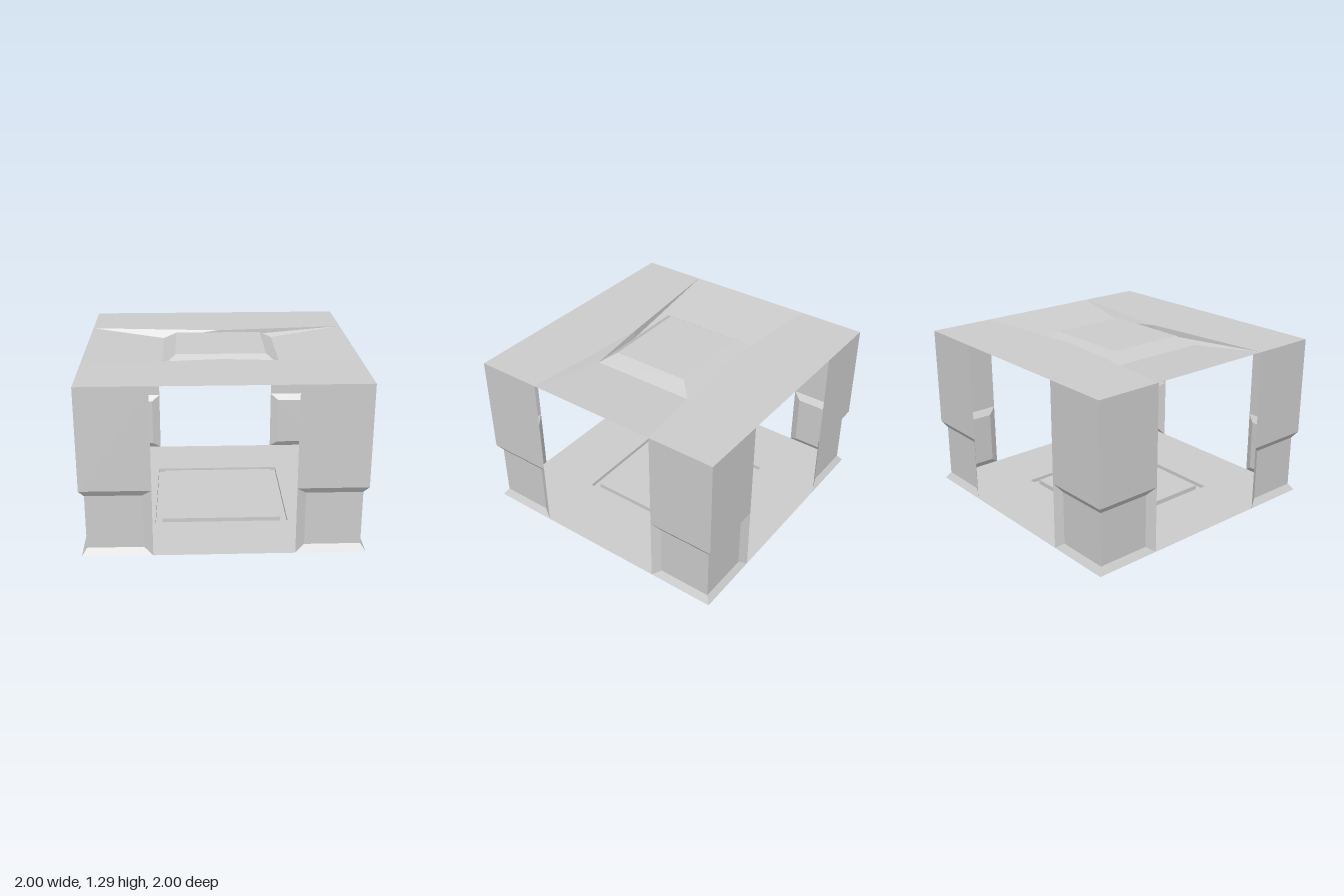
import * as THREE from 'three';

const material = new THREE.MeshStandardMaterial({
  color: 0xcccccc, flatShading: true, side: THREE.DoubleSide,
});

const FLOOR = 0.03, ROOF = 1.28, SUNK = 1.22;

// Builds a mesh from convex faces, each a list of [x, y, z] corners.
function shell(name, faces) {
  const positions = [];
  for (const f of faces) {
    for (let i = 1; i < f.length - 1; i++) positions.push(...f[0], ...f[i], ...f[i + 1]);
  }
  const geometry = new THREE.BufferGeometry();
  geometry.setAttribute('position', new THREE.Float32BufferAttribute(positions, 3));
  geometry.computeVertexNormals();
  const mesh = new THREE.Mesh(geometry, material);
  mesh.name = name;
  return mesh;
}

// Joins nested rectangles [halfX, halfZ, y] from outside in and caps the last one.
function nestedRectangles(rects) {
  const loops = rects.map(([x, z, y]) => [[-x, y, z], [x, y, z], [x, y, -z], [-x, y, -z]]);
  const faces = [loops[loops.length - 1]];
  for (let r = 0; r < loops.length - 1; r++) {
    for (let i = 0; i < 4; i++) {
      const j = (i + 1) % 4;
      faces.push([loops[r][i], loops[r][j], loops[r + 1][j], loops[r + 1][i]]);
    }
  }
  return faces;
}

// L-shaped corner post: two thin walls with a recessed, bevelled lower panel.
function cornerPost() {
  const edge = (y) => [0.5, y, 1], corner = (y) => [1, y, 1];
  const inEdge = (y) => [0.565, y, 0.965], inCorner = (y) => [0.965, y, 0.965];
  const wall = [
    [edge(0.53), corner(0.53), corner(ROOF), edge(ROOF)],
    [inEdge(0.48), inCorner(0.48), corner(0.53), edge(0.53)],
    [inEdge(0.08), inCorner(0.08), inCorner(0.48), inEdge(0.48)],
    [edge(FLOOR), corner(FLOOR), inCorner(0.08), inEdge(0.08)],
    [edge(FLOOR), inEdge(0.08), inEdge(0.48), edge(0.53)],
  ];
  const sideWall = wall.map((f) => f.map(([x, y, z]) => [z, y, x]).reverse());
  return shell('cornerPost', [...wall, ...sideWall]);
}

// Half of the roof: flat strip, sloping side and the folded step between them.
function roofHalf() {
  const left = [-1, ROOF, 0.5], right = [1, ROOF, 0.5];
  const midTop = [0, ROOF, 0.4], midLow = [0, SUNK, 0.4];
  const lowLeft = [-0.43, SUNK, 0.4], lowRight = [0.43, SUNK, 0.4];
  return shell('roofHalf', [
    [[-1, ROOF, 1], [1, ROOF, 1], right, midTop, left],
    [right, [1, ROOF, -0.5], [0.43, SUNK, -0.4], lowRight],
    [left, midLow, lowLeft],
    [left, midTop, midLow],
    [midLow, midTop, lowRight],
    [midTop, right, lowRight],
  ]);
}

export function createModel() {
  const model = new THREE.Group();
  model.name = 'openPavilion';

  // Floor with a square channel pressed downward around a centre panel
  model.add(shell('floor', nestedRectangles([
    [1, 1, FLOOR], [0.5, 0.5, FLOOR], [0.5, 0.5, 0], [0.45, 0.45, 0], [0.45, 0.45, 0.035],
  ])));

  // Four posts
  for (let i = 0; i < 4; i++) {
    const post = cornerPost();
    post.rotation.y = i * Math.PI / 2;
    model.add(post);
  }

  // Roof, made of two halves turned about the centre
  for (let i = 0; i < 2; i++) {
    const half = roofHalf();
    half.rotation.y = i * Math.PI;
    model.add(half);
  }

  // Raised hatch in the sunken middle of the roof
  model.add(shell('roofHatch', nestedRectangles([[0.43, 0.4, SUNK], [0.33, 0.3, 1.29]])));

  return model;
}
